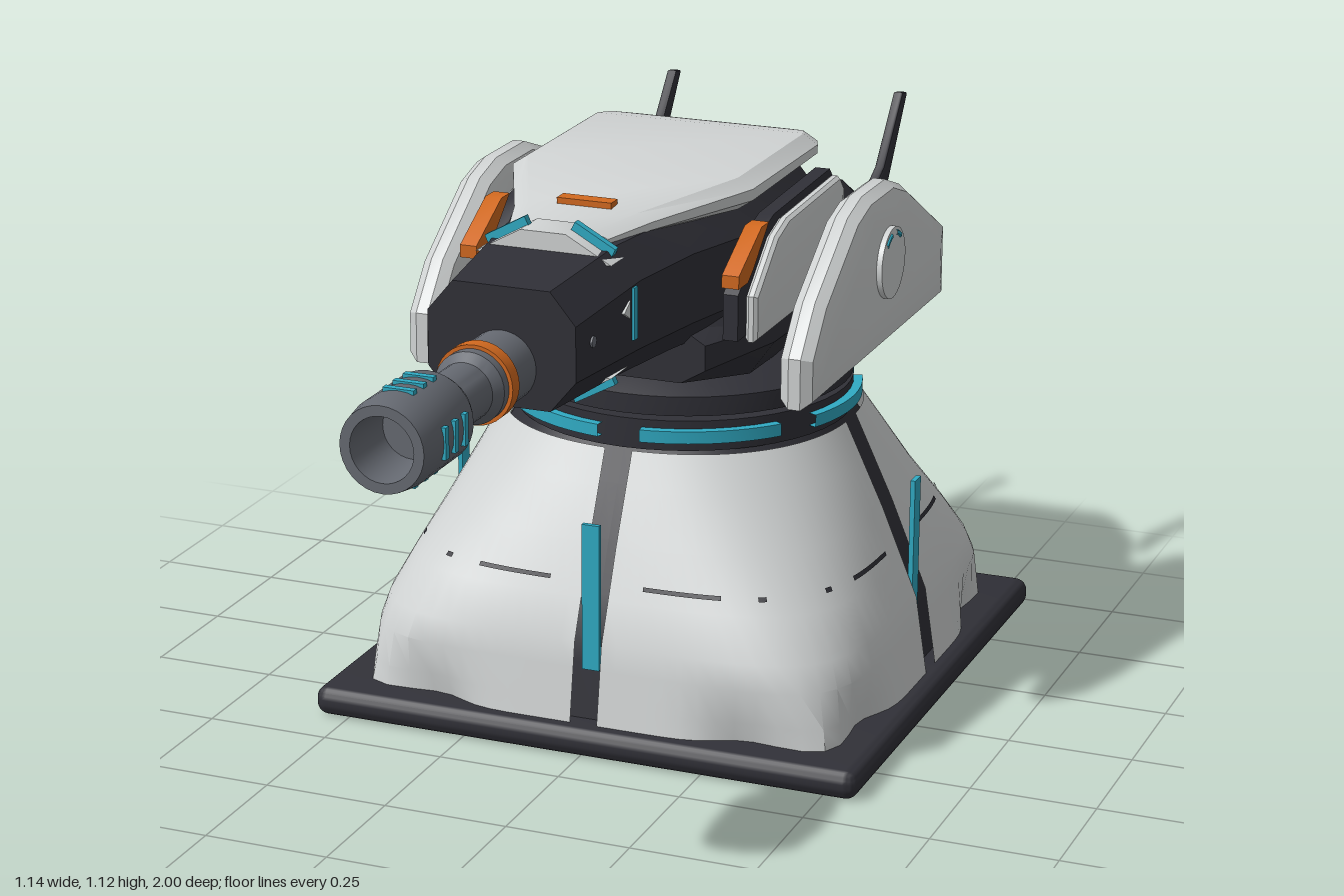
import * as THREE from 'three';
import { toCreasedNormals } from 'three/addons/utils/BufferGeometryUtils.js';
import { RoundedBoxGeometry } from 'three/addons/geometries/RoundedBoxGeometry.js';

const mat = (name, color, side = THREE.FrontSide) => {
  const m = new THREE.MeshStandardMaterial({ color, side });
  m.name = name;
  return m;
};
const lerp = THREE.MathUtils.lerp;
const CZ = -0.41; // axis of the pedestal

function geometryFrom(pos, idx) {
  const g = new THREE.BufferGeometry();
  g.setAttribute('position', new THREE.Float32BufferAttribute(pos, 3));
  g.setIndex(idx);
  return g;
}

// Chamfered-box loft, sections front to back: [z, halfWidth, yLow, yHigh, chamferX, chamferY]
function loft(sections) {
  const pos = [], idx = [], n = sections.length;
  for (const [z, w, a, b, cx, cy] of sections) {
    const ring = [[w, a + cy], [w, b - cy], [w - cx, b], [cx - w, b], [-w, b - cy], [-w, a + cy], [cx - w, a], [w - cx, a]];
    for (const [x, y] of ring) pos.push(x, y, z);
  }
  for (let i = 0; i < n - 1; i++) for (let j = 0; j < 8; j++) {
    const A = i * 8 + j, B = i * 8 + (j + 1) % 8;
    idx.push(A, A + 8, B, B, A + 8, B + 8);
  }
  const e = (n - 1) * 8;
  for (let j = 1; j < 7; j++) idx.push(0, j, j + 1, e, e + j + 1, e + j);
  return geometryFrom(pos, idx);
}

// Pedestal wall: square with feet at the bottom, turning round towards the top
const KEYS = [[0.06, 0.535, 8], [0.22, 0.51, 5], [0.4, 0.435, 3], [0.57, 0.355, 2.2]];
function wallPoint(y, quadrant, t, gap, off) {
  let k = 0;
  while (k < 2 && y > KEYS[k + 1][0]) k++;
  const [p, q] = [KEYS[k], KEYS[k + 1]], f = (y - p[0]) / (q[0] - p[0]);
  const h = lerp(p[1], q[1], f) + off, n = lerp(p[2], q[2], f);
  const g = Math.asin(gap / h), a = lerp(g, Math.PI / 2 - g, t);
  const deg = THREE.MathUtils.radToDeg(a);
  const dent = Math.exp(-(((deg - 34) / 8) ** 2)) + Math.exp(-(((deg - 56) / 8) ** 2));
  const r = h / (Math.cos(a) ** n + Math.sin(a) ** n) ** (1 / n) - 0.05 * dent * Math.max(0, 1 - (y - 0.06) / 0.11);
  const A = a + quadrant * Math.PI / 2;
  return [r * Math.sin(A), y, CZ + r * Math.cos(A)];
}
function wall(rows, quadrant, t0, t1, gap, off, cols = 24) {
  const pos = [], idx = [], w = cols + 1;
  rows.forEach((y, i) => {
    for (let j = 0; j <= cols; j++) {
      pos.push(...wallPoint(y, quadrant, lerp(t0, t1, j / cols), gap, off));
      const A = i * w + j;
      if (i < rows.length - 1 && j < cols) idx.push(A, A + 1, A + w, A + 1, A + w + 1, A + w);
    }
  });
  return geometryFrom(pos, idx);
}

// Side outline given as [z, y], extruded along x and centred at x
function sideSlab(points, x, thick, bevel = 0, bevelThick = 0) {
  const shape = new THREE.Shape(points.map(([z, y]) => new THREE.Vector2(z, y)));
  const depth = thick - 2 * bevelThick;
  const g = new THREE.ExtrudeGeometry(shape, {
    depth, bevelEnabled: bevel > 0, bevelSize: bevel, bevelOffset: -bevel, bevelThickness: bevelThick, bevelSegments: 2,
  });
  return g.rotateY(-Math.PI / 2).translate(x + depth / 2, 0, 0);
}

// Front outline given as [x, y], extruded along z
function frontSlab(points, z, depth) {
  const shape = new THREE.Shape(points.map(([x, y]) => new THREE.Vector2(x, y)));
  return new THREE.ExtrudeGeometry(shape, { depth, bevelEnabled: false }).translate(0, 0, z);
}
const box = (w, h, d, x, y, z) => new THREE.BoxGeometry(w, h, d).translate(x, y, z);

export function createModel() {
  const model = new THREE.Group();
  model.name = 'turret';
  const white = mat('whiteArmor', 0xd0d3d3, THREE.DoubleSide);
  const dark = mat('darkFrame', 0x303037);
  const grey = mat('gunMetal', 0x666a72);
  const cyan = mat('cyanLight', 0x30abc4, THREE.DoubleSide);
  const orange = mat('orangeTrim', 0xd2691f);
  const add = (name, geo, material) => {
    const m = new THREE.Mesh(toCreasedNormals(geo, 0.55), material);
    m.name = name;
    model.add(m);
    return m;
  };

  // Base and pedestal
  add('basePlate', new RoundedBoxGeometry(1.14, 0.06, 1.14, 3, 0.025).translate(0, 0.03, -0.413), dark);
  const rows = [0.06, 0.1, 0.17, 0.22, 0.3, 0.4, 0.5, 0.57];
  for (let q = 0; q < 4; q++) {
    add('pedestalCore', wall(rows, q, 0, 1, 0, -0.03), dark);
    add('pedestalPanel', wall(rows, q, 0, 1, 0.028, 0), white);
    for (const [a, b] of [[0.1, 0.31], [0.4, 0.42], [0.58, 0.6], [0.69, 0.9]])
      add('panelLine', wall([0.327, 0.335], q, a, b, 0.028, 0.003, 10), dark);
    const strip = box(0.036, 0.3, 0.01, 0, 0.31, 0.493).rotateY(q * Math.PI / 2).translate(0, 0, CZ);
    add('pedestalLight', strip, cyan);
  }

  // Turning ring
  const disc = (name, top, bottom, y0, y1) =>
    add(name, new THREE.CylinderGeometry(top, bottom, y1 - y0, 48).translate(0, (y0 + y1) / 2, CZ), dark);
  disc('ring', 0.34, 0.34, 0.57, 0.631);
  disc('neck', 0.34, 0.34, 0.641, 0.68);
  disc('shoulder', 0.25, 0.34, 0.68, 0.73);
  const rect = [[0.335, 0.59], [0.358, 0.59], [0.358, 0.615], [0.335, 0.615]].map((p) => new THREE.Vector2(...p));
  for (let i = 0; i < 6; i++) {
    const g = new THREE.LatheGeometry(rect, 12, (30 + 60 * i - 23) * Math.PI / 180, 46 * Math.PI / 180);
    add('ringLight', g.translate(0, 0, CZ), cyan);
  }

  // Hull, gun housing and top armour
  add('hull', loft([
    [0, 0.2, 0.74, 0.85, 0.05, 0.03], [-0.15, 0.285, 0.725, 0.9, 0.05, 0.07], [-0.6, 0.295, 0.71, 0.94, 0.06, 0.08],
    [-0.85, 0.255, 0.705, 0.93, 0.08, 0.07], [-0.97, 0.195, 0.72, 0.895, 0.06, 0.05], [-0.995, 0.16, 0.75, 0.87, 0.04, 0.03],
  ]), dark);
  add('tailLight', box(0.24, 0.032, 0.009, 0, 0.815, -0.9955), cyan);
  add('gunHousing', loft([
    [0.5, 0.145, 0.83, 1.055, 0.05, 0.06], [0.25, 0.168, 0.825, 1.075, 0.05, 0.06], [0.05, 0.195, 0.82, 1.075, 0.05, 0.06],
    [-0.12, 0.235, 0.82, 1.07, 0.05, 0.06], [-0.5, 0.24, 0.82, 1.07, 0.05, 0.06], [-0.59, 0.2, 0.84, 1.04, 0.05, 0.05],
  ]), dark);
  add('topArmor', loft([
    [0.24, 0.1, 1.06, 1.095, 0.03, 0.012], [0.12, 0.14, 1.06, 1.103, 0.03, 0.014], [-0.12, 0.248, 1.06, 1.122, 0.03, 0.02],
    [-0.48, 0.25, 1.065, 1.122, 0.03, 0.02], [-0.52, 0.235, 1.065, 1.117, 0.03, 0.018], [-0.555, 0.19, 1.07, 1.108, 0.03, 0.014],
  ]), white);

  // Collar around the housing, with lights above and below
  for (const s of [1, -1]) {
    const Y = (v) => (s > 0 ? 1.055 + v : 0.84 - v);
    add('collar', frontSlab([[-0.135, Y(0)], [-0.045, Y(0.05)], [0.045, Y(0.05)], [0.135, Y(0)]], 0.23, 0.08), white);
    for (const k of [1, -1]) {
      add('collarLight', frontSlab([[k * 0.04, Y(0.045)], [k * 0.05, Y(0.066)], [k * 0.13, Y(0.022)], [k * 0.12, Y(0)]], 0.263, 0.016), cyan);
    }
    add('orangeChip', box(0.11, 0.02, 0.032, 0, s > 0 ? 1.105 : 0.808, 0.1), orange);
  }

  // Barrel and hollow muzzle
  const onBarrel = (g) => g.rotateX(Math.PI / 2).translate(0, 0.905, 0);
  const profile = [[0, 0.48], [0.068, 0.48], [0.068, 0.64], [0.054, 0.66], [0.054, 0.765], [0.072, 0.785], [0.085, 0.81],
    [0.085, 0.96], [0.079, 1], [0.06, 1], [0.055, 0.88], [0, 0.88]].map((p) => new THREE.Vector2(...p));
  add('barrel', onBarrel(new THREE.LatheGeometry(profile, 32)), grey);
  add('barrelBand', onBarrel(new THREE.CylinderGeometry(0.075, 0.075, 0.03, 32).translate(0, 0.605, 0)), orange);
  for (let i = 0; i < 4; i++) for (const z of [0.845, 0.885, 0.925]) {
    const g = box(0.058, 0.01, 0.014, 0, 0.083, z).rotateZ(i * Math.PI / 2);
    add('muzzleLight', g.translate(0, 0.905, 0), cyan);
  }

  // Parts on both sides
  const shield = [[0.015, 0.72], [0.015, 0.82], [-0.06, 0.91], [-0.24, 1.03], [-0.32, 1.052], [-0.46, 1.052], [-0.55, 1.02], [-0.8, 0.88], [-0.8, 0.72]];
  const inner = [[0.01, 0.84], [0.01, 0.93], [-0.11, 1.02], [-0.18, 1.04], [-0.5, 1.05], [-0.53, 1.02], [-0.53, 0.84]];
  const fin = [[-0.76, 0.91], [-0.87, 0.9], [-1, 1.09], [-0.97, 1.096], [-0.86, 0.965]];
  for (const s of [1, -1]) {
    add('sideShield', sideSlab(shield, s * 0.385, 0.08, 0.05, 0.028), white);
    const hub = new THREE.CylinderGeometry(0.072, 0.072, 0.1, 32).rotateZ(Math.PI / 2);
    add('shieldHub', hub.translate(s * 0.386, 0.9, CZ), white);
    for (const start of [50, 105]) {
      const arc = new THREE.TorusGeometry(0.06, 0.006, 6, 8, Math.PI / 6);
      arc.rotateZ(start * Math.PI / 180).rotateY(Math.PI / 2);
      add('hubLight', arc.translate(s * 0.434, 0.9, CZ), cyan);
    }
    add('innerFrame', sideSlab(inner, s * 0.254, 0.03), dark);
    add('innerPanel', sideSlab(inner.map(([z, y]) => [z * 0.92 - 0.04, y - 0.012]), s * 0.28, 0.03, 0.02, 0.01), white);
    add('orangeGuard', sideSlab([[0.05, 0.955], [0.05, 0.98], [-0.07, 1.045], [-0.11, 1.045], [-0.03, 0.975], [0, 0.955]], s * 0.268, 0.034), orange);
    add('tailFin', sideSlab(fin, s * 0.253, 0.022, 0.006, 0.006), dark);
    add('housingLight', box(0.012, 0.1, 0.016, s * 0.164, 0.96, 0.275), cyan);
    const mark = new THREE.CylinderGeometry(0.02, 0.02, 0.008, 3).rotateZ(Math.PI / 2);
    add('housingMark', mark.translate(s * 0.163, 0.972, 0.305), white);
    const bolt = new THREE.CylinderGeometry(0.011, 0.011, 0.008, 12).rotateZ(Math.PI / 2);
    add('housingBolt', bolt.translate(s * 0.15, 0.95, 0.435), grey);
  }
  return model;
}
